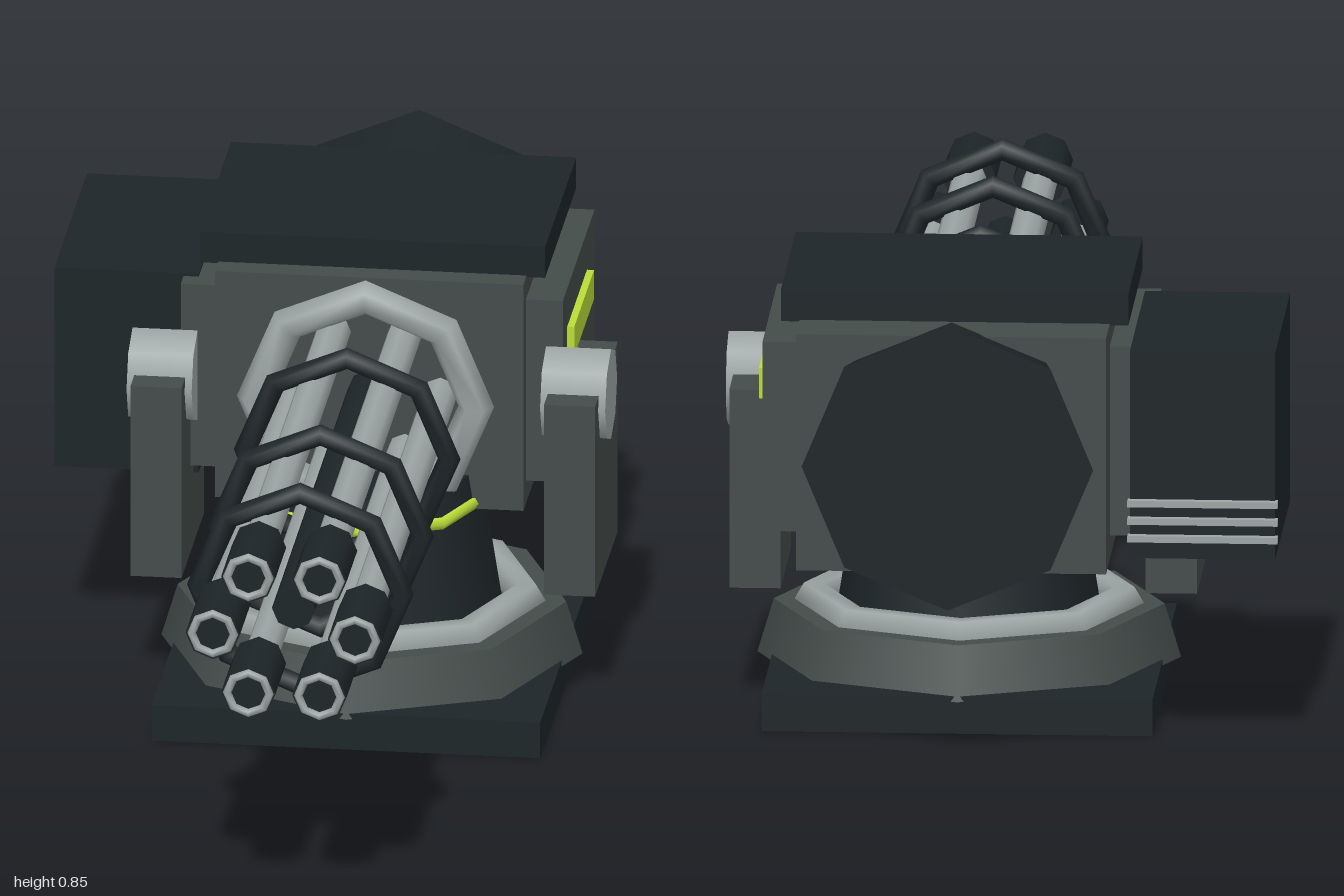
import * as THREE from 'three';

const mat = (color) => new THREE.MeshStandardMaterial({ color });
const CX = 0.076; // turret axis
const CZ = -0.303;
const GUN_Y = 0.572; // barrel axis height

export function createModel() {
  const model = new THREE.Group();
  model.name = 'rotaryTurret';
  const dark = mat(0x1d2528);
  const mid = mat(0x444c4a);
  const light = mat(0x9ca5a4);
  const lime = mat(0xbbdc38);

  function add(name, geometry, material, parent = model) {
    const mesh = new THREE.Mesh(geometry, material);
    mesh.name = name;
    parent.add(mesh);
    return mesh;
  }
  // Box given by its limits on each axis
  function box(name, material, [x0, x1], [y0, y1], [z0, z1]) {
    const mesh = add(name, new THREE.BoxGeometry(x1 - x0, y1 - y0, z1 - z0), material);
    mesh.position.set((x0 + x1) / 2, (y0 + y1) / 2, (z0 + z1) / 2);
    return mesh;
  }
  // Upright eight-sided drum on the turret axis
  function drum(name, material, rTop, rBottom, y0, y1) {
    const mesh = add(name, new THREE.CylinderGeometry(rTop, rBottom, y1 - y0, 8), material);
    mesh.position.set(CX, (y0 + y1) / 2, CZ);
  }
  // Eight-sided rod along z
  function rod(name, material, rFront, rBack, x, y, z0, z1, parent = model) {
    const geometry = new THREE.CylinderGeometry(rFront, rBack, z1 - z0, 8).rotateX(Math.PI / 2);
    add(name, geometry, material, parent).position.set(x, y, (z0 + z1) / 2);
  }
  // Eight-sided ring with a six-sided section, facing z
  function ring(name, material, radius, tube, x, y, z, parent = model) {
    const mesh = add(name, new THREE.TorusGeometry(radius, tube, 6, 8), material, parent);
    mesh.position.set(x, y, z);
    return mesh;
  }

  // Pedestal
  box('basePlate', dark, [CX - 0.358, CX + 0.358], [0, 0.07], [CZ - 0.383, CZ + 0.383]);
  drum('baseDrum', mid, 0.358, 0.388, 0.06, 0.16);
  ring('baseRing', light, 0.285, 0.035, CX, 0.16, CZ).rotation.x = -Math.PI / 2;
  drum('neck', dark, 0.2, 0.24, 0.16, 0.415);
  ring('neckBand', lime, 0.206, 0.0125, CX, 0.36, CZ).rotation.x = -Math.PI / 2;

  // Housing
  box('housing', mid, [CX - 0.284, CX + 0.284], [0.35, 0.793], [-0.885, -0.262]);
  box('roofPlate', dark, [CX - 0.318, CX + 0.318], [0.79, 0.85], [-0.768, -0.31]);
  box('sidePanels', mid, [CX - 0.352, CX + 0.352], [0.395, 0.75], [-0.766, -0.3]);
  rod('rearFlare', dark, 0.242, 0.267, CX, GUN_Y, -1, -0.862);
  box('statusStrip', lime, [0.42, 0.441], [0.618, 0.675], [-0.655, -0.365]);

  // Ammunition box with rear vents
  box('ammoBox', dark, [-0.514, -0.248], [0.366, 0.755], [-0.82, -0.34]);
  for (let i = 0; i < 3; i++) {
    const y = 0.405 + i * 0.033;
    box('vent', light, [-0.519, -0.244], [y - 0.006, y + 0.006], [-0.836, -0.815]);
  }

  // Side arms and pivots
  for (const side of [-1, 1]) {
    const x = CX + side * 0.381;
    box('sideArm', mid, [x - 0.047, x + 0.047], [0.225, 0.597], [-0.5, -0.167]);
    const pivot = new THREE.CylinderGeometry(0.088, 0.088, 0.12, 8).rotateZ(Math.PI / 2);
    add('pivot', pivot, light).position.set(x, GUN_Y, -0.3);
  }

  // Barrel cluster
  const guns = new THREE.Group();
  guns.name = 'barrelCluster';
  guns.position.set(CX, GUN_Y, 0);
  model.add(guns);
  ring('frontCollar', light, 0.204, 0.033, 0, 0, -0.208, guns);
  rod('spindle', dark, 0.04, 0.04, 0, 0, -0.28, 0.85, guns);
  for (let i = 0; i < 6; i++) {
    const a = (i * Math.PI) / 3;
    const x = Math.cos(a) * 0.131;
    const y = Math.sin(a) * 0.131;
    rod('barrel', light, 0.032, 0.032, x, y, -0.28, 0.86, guns);
    rod('muzzle', dark, 0.05, 0.05, x, y, 0.835, 0.993, guns);
    ring('muzzleRim', light, 0.039, 0.008, x, y, 0.993, guns);
  }
  for (const z of [0.062, 0.453, 0.75]) ring('barrelClamp', dark, 0.188, 0.021, 0, 0, z, guns);

  return model;
}
